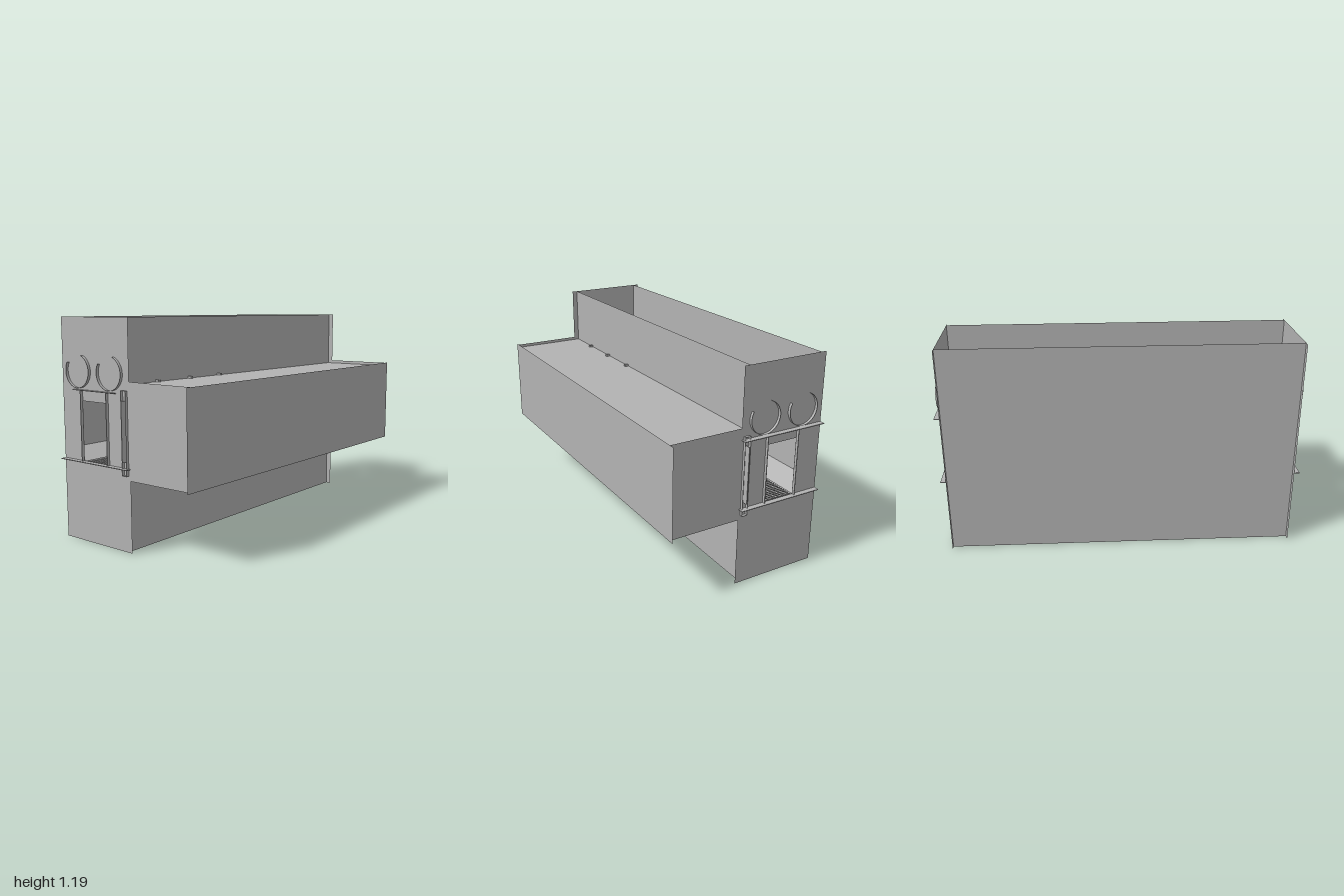
import * as THREE from 'three';

const CX = -0.205; // centre line of the tall housing
const END = 0.97; // end plate position

export function createModel() {
  const model = new THREE.Group();
  const grey = new THREE.MeshStandardMaterial({ color: 0xb3b3b3, side: THREE.DoubleSide });
  grey.name = 'sheetGrey';

  const add = (name, geo, parent = model) => {
    const mesh = new THREE.Mesh(geo, grey);
    mesh.name = name;
    parent.add(mesh);
    return mesh;
  };
  // Sheet or bar given by its extents; one extent may be zero
  const sheet = (name, x0, x1, y0, y1, z0, z1, parent) => {
    const size = [x1 - x0, y1 - y0, z1 - z0];
    let geo;
    if (size[0] === 0) geo = new THREE.PlaneGeometry(size[2], size[1]).rotateY(Math.PI / 2);
    else if (size[1] === 0) geo = new THREE.PlaneGeometry(size[0], size[2]).rotateX(-Math.PI / 2);
    else if (size[2] === 0) geo = new THREE.PlaneGeometry(size[0], size[1]);
    else geo = new THREE.BoxGeometry(...size);
    return add(name, geo.translate((x0 + x1) / 2, (y0 + y1) / 2, (z0 + z1) / 2), parent);
  };
  // Open cylinder wall along z with a gap between two angles in degrees
  const openTube = (name, x, y, r, gap0, gap1, z0, z1, parent) => {
    const pos = [], index = [], n = 28;
    for (let i = 0; i <= n; i++) {
      const a = THREE.MathUtils.degToRad(gap1 + (360 - gap1 + gap0) * i / n);
      const px = x + r * Math.cos(a), py = y + r * Math.sin(a);
      pos.push(px, py, z0, px, py, z1);
      if (i < n) index.push(2 * i, 2 * i + 2, 2 * i + 1, 2 * i + 1, 2 * i + 2, 2 * i + 3);
    }
    const geo = new THREE.BufferGeometry();
    geo.setAttribute('position', new THREE.Float32BufferAttribute(pos, 3));
    geo.setIndex(index);
    geo.computeVertexNormals();
    return add(name, geo, parent);
  };

  // Tall housing: side walls, open at top and bottom
  for (const x of [-0.424, 0.014]) sheet('housingWall', x, x, 0, 1.19, -END, END);

  // End plates with window
  const plate = new THREE.Shape();
  plate.moveTo(-0.455, 0).lineTo(0.045, 0).lineTo(0.045, 1.19).lineTo(-0.455, 1.19).closePath();
  const win = new THREE.Path();
  win.moveTo(-0.3, 0.44).lineTo(-0.3, 0.755).lineTo(-0.11, 0.755).lineTo(-0.11, 0.44).closePath();
  plate.holes.push(win);
  for (const z of [-END, END]) add('endPlate', new THREE.ShapeGeometry(plate).translate(0, 0, z));

  // Side box: outer wall overhangs the ends, top and bottom sit recessed
  sheet('sideBoxOuterWall', 0.45, 0.45, 0.375, 0.875, -1, 1);
  for (const z of [-END, END]) sheet('sideBoxEnd', 0.045, 0.45, 0.375, 0.875, z, z);
  for (const y of [0.395, 0.857]) sheet('sideBoxDeck', 0.014, 0.45, y, y, -END, END);
  for (const z of [0.245, 0.495, 0.745]) sheet('deckClip', 0.015, 0.038, 0.857, 0.868, z - 0.008, z + 0.008);

  // Fittings on each end: window frame, rails, pipe collars, vertical guide
  for (const s of [1, -1]) {
    const fittings = new THREE.Group();
    fittings.name = s > 0 ? 'frontFittings' : 'backFittings';
    model.add(fittings);
    const z0 = s > 0 ? END : -1, z1 = s > 0 ? 1 : -END;
    const n0 = s > 0 ? END : -0.986, n1 = s > 0 ? 0.986 : -END;
    sheet('lowerRail', -0.455, 0.043, 0.433, 0.437, z0, z1, fittings);
    if (s > 0) sheet('upperRail', -0.36, -0.05, 0.81, 0.814, n0, n1, fittings);
    else sheet('upperRail', -0.455, 0.043, 0.81, 0.814, z0, z1, fittings);
    for (const x of [-0.303, -0.109]) sheet('windowPost', x - 0.002, x + 0.002, 0.437, 0.81, n0, n1, fittings);
    // Guide channel: frame of four strips with a centre fin
    for (const x of [0, 0.032]) sheet('guideSide', x, x, 0.4, 0.83, n0, n1, fittings);
    for (const y of [0.4, 0.83]) sheet('guideCap', 0, 0.032, y, y, n0, n1, fittings);
    sheet('guideFin', 0.014, 0.018, 0.47, 0.78, z0, z1, fittings);
    const [g0, g1] = s > 0 ? [70, 150] : [30, 110];
    for (const d of [-0.118, 0.118]) openTube('pipeCollar', CX + d, 0.91, 0.088, g0, g1, n0, n1, fittings);
  }

  // Two slotted pipes along the top of the housing
  for (const d of [-0.118, 0.118]) openTube('slottedPipe', CX + d, 0.91, 0.08, 62, 118, -END, END);

  // Grates above and below the tunnel
  const rods = 116;
  for (const [name, y] of [['floorGrate', 0.425], ['ceilingGrate', 0.775]]) {
    const grate = new THREE.Group();
    grate.name = name;
    model.add(grate);
    const wires = new THREE.InstancedMesh(new THREE.BoxGeometry(0.21, 0.004, 0.004), grey, 1);
    for (let i = 0; i <= rods; i++) {
      const z = -0.96 + 1.92 * i / rods;
      const wire = new THREE.Mesh(wires.geometry, grey);
      wire.name = 'crossWire';
      wire.position.set(CX, y, z);
      grate.add(wire);
    }
    for (let i = -3; i <= 3; i++) {
      sheet('longWire', CX + i * 0.033 - 0.002, CX + i * 0.033 + 0.002, y - 0.005, y, -END, END, grate);
    }
    for (let i = -3; i <= 3; i++) sheet('crossBar', -0.31, -0.1, y - 0.012, y, i * 0.25 - 0.006, i * 0.25 + 0.006, grate);
  }

  // Wire side of the tunnel
  const side = new THREE.Group();
  side.name = 'sideGrate';
  model.add(side);
  for (let i = 0; i <= 48; i++) {
    const z = -0.96 + i * 0.04;
    sheet('uprightWire', -0.1, -0.096, 0.56, 0.775, z - 0.002, z + 0.002, side);
  }
  for (let i = 0; i < 6; i++) sheet('sideWire', -0.1, -0.096, 0.56 + i * 0.04, 0.564 + i * 0.04, -END, END, side);

  // Sloped ledges from the walls to the floor grate
  for (const s of [-1, 1]) {
    const ledge = add('slopedLedge', new THREE.PlaneGeometry(0.13, 2 * END).rotateX(-Math.PI / 2).rotateZ(s * 0.5));
    ledge.position.set(CX + s * 0.161, 0.462, 0);
  }

  // Screw conveyor in the bottom of the housing
  const screw = new THREE.Group();
  screw.name = 'screwConveyor';
  screw.position.set(CX, 0.2, 0);
  model.add(screw);
  add('screwShaft', new THREE.CylinderGeometry(0.025, 0.025, 2 * END, 16).rotateX(Math.PI / 2), screw);
  const pos = [], index = [], turns = 6.5, steps = 208;
  for (let i = 0; i <= steps; i++) {
    const a = 2 * Math.PI * turns * i / steps, z = -0.96 + 1.92 * i / steps;
    for (const r of [0.025, 0.17]) pos.push(r * Math.cos(a), r * Math.sin(a), z);
    if (i < steps) index.push(2 * i, 2 * i + 1, 2 * i + 2, 2 * i + 1, 2 * i + 3, 2 * i + 2);
  }
  const flight = new THREE.BufferGeometry();
  flight.setAttribute('position', new THREE.Float32BufferAttribute(pos, 3));
  flight.setIndex(index);
  flight.computeVertexNormals();
  add('screwFlight', flight, screw);

  return model;
}
